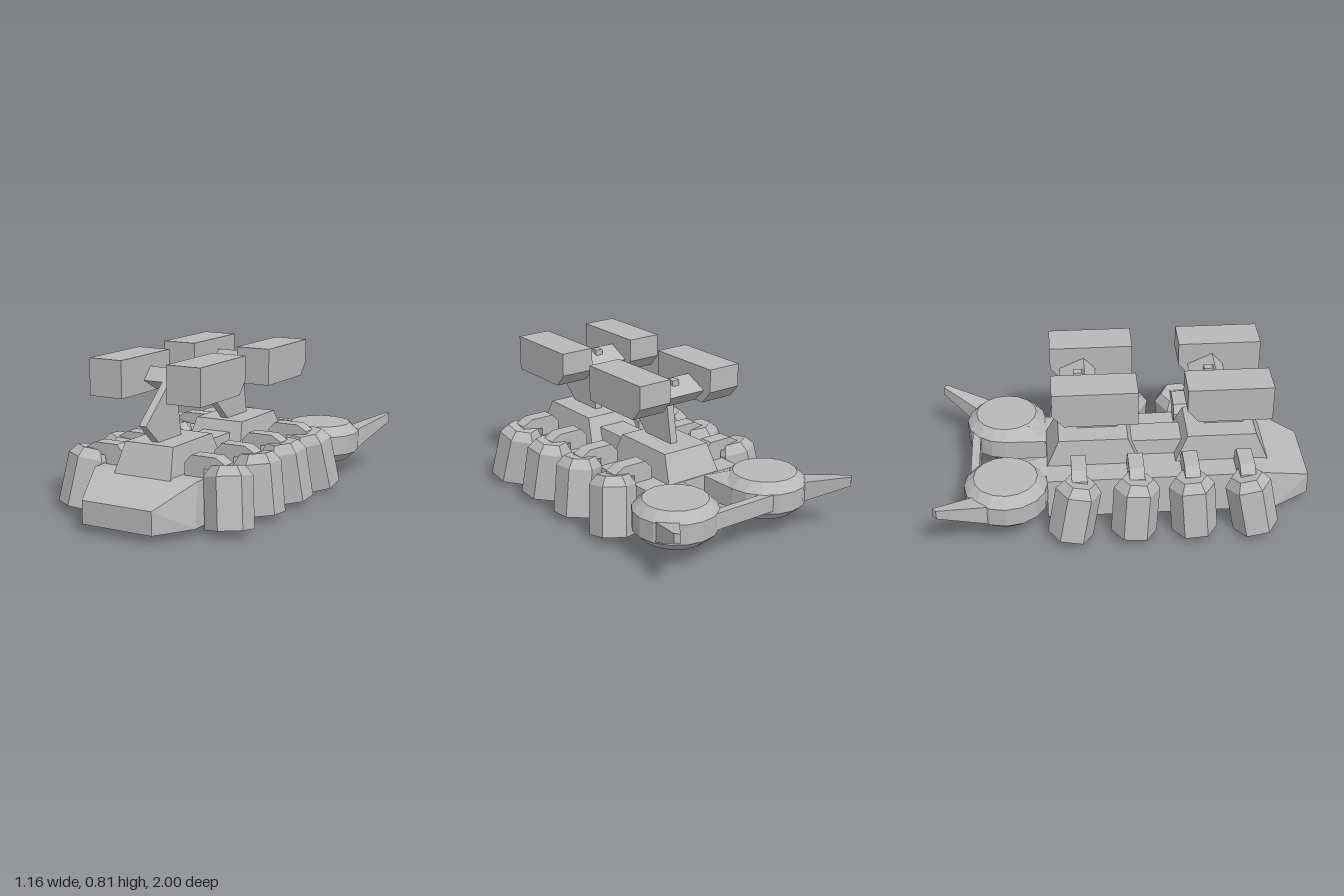
import * as THREE from 'three';
import { ConvexGeometry } from 'three/addons/geometries/ConvexGeometry.js';

export function createModel() {
  const model = new THREE.Group();
  const grey = new THREE.MeshStandardMaterial({ color: 0xb8b8b8, flatShading: true });

  const add = (name, geometry, parent = model) => {
    const mesh = new THREE.Mesh(geometry, grey);
    mesh.name = name;
    parent.add(mesh);
    return mesh;
  };
  const solid = (points) => new ConvexGeometry(points.map((p) => new THREE.Vector3(...p)));
  // Prism symmetric in x: each row is [halfWidth, y, z]
  const symmetric = (rows) => solid(rows.flatMap(([w, y, z]) => [[w, y, z], [-w, y, z]]));
  const extrude = (points, depth) => {
    const shape = new THREE.Shape(points.map((p) => new THREE.Vector2(...p)));
    return new THREE.ExtrudeGeometry(shape, { depth, bevelEnabled: false }).translate(0, 0, -depth / 2);
  };
  // Side profile given as [z, y], extruded across x
  const sideProfile = (points, width) => extrude(points, width).rotateY(-Math.PI / 2);

  // Hull with a tapered, sloping nose
  add('hull', symmetric([
    [0.32, 0.04, -0.42], [0.30, 0.26, -0.42],
    [0.32, 0.04, 0.80], [0.30, 0.26, 0.75],
    [0.20, 0.04, 1.0], [0.20, 0.16, 1.0],
  ]));

  // Raised spine joining the two deck blocks
  add('spine', symmetric([
    [0.09, 0.25, 0.36], [0.09, 0.25, -0.02], [0.08, 0.345, 0.36], [0.08, 0.345, -0.02],
  ]));

  // Two identical weapon stations
  for (const z of [0, -0.69]) {
    const station = new THREE.Group();
    station.name = z === 0 ? 'frontStation' : 'rearStation';
    station.position.z = z;
    model.add(station);

    add('deckBlock', symmetric([
      [0.165, 0.25, 0.775], [0.165, 0.25, 0.27],
      [0.14, 0.403, 0.71], [0.14, 0.403, 0.34],
    ]), station);

    add('mast', sideProfile([
      [0.64, 0.39], [0.765, 0.502], [0.475, 0.753], [0.43, 0.753],
      [0.43, 0.70], [0.485, 0.66], [0.44, 0.39],
    ], 0.042), station);

    add('crossbar', sideProfile([
      [0.55, 0.685], [0.49, 0.75], [0.36, 0.69], [0.43, 0.622],
    ], 0.27), station);

    for (const side of [-1, 1]) {
      const pod = add('launcherBox', sideProfile([
        [0.75, 0.622], [0.75, 0.813], [0.31, 0.813], [0.31, 0.69], [0.37, 0.622],
      ], 0.19), station);
      pod.position.x = side * 0.225;
    }
  }

  // Four splayed legs on each side, hung from bent arms
  const legs = [
    { foot: 0.68, arm: 0.63, lean: 0.19 },
    { foot: 0.353, arm: 0.34, lean: 0.07 },
    { foot: 0.03, arm: 0.05, lean: -0.07 },
    { foot: -0.305, arm: -0.25, lean: -0.19 },
  ];
  const legParts = [
    ['leg', new THREE.CylinderGeometry(0.121, 0.121, 0.26, 6).translate(0, 0.13, 0)],
    ['legShoulder', new THREE.CylinderGeometry(0.083, 0.121, 0.05, 6).translate(0, 0.285, 0)],
  ];
  for (const side of [-1, 1]) {
    for (const { foot, arm, lean } of legs) {
      const leg = new THREE.Group();
      leg.name = side > 0 ? 'leftLeg' : 'rightLeg';
      leg.position.set(side * 0.44, 0.025, foot);
      leg.rotation.set(-lean, 0, side * 0.14);
      for (const [name, geometry] of legParts) add(name, geometry, leg);
      model.add(leg);

      const bracket = add('legArm', extrude([
        [0.18, 0.2], [0.18, 0.325], [0.22, 0.367], [0.355, 0.367], [0.41, 0.335],
        [0.43, 0.25], [0.36, 0.25], [0.33, 0.305], [0.29, 0.305], [0.29, 0.2],
      ].map(([x, y]) => [side * x, y]), 0.08));
      bracket.position.z = arm;
    }
  }

  // Round rear pods, each with a neck to the hull and a swept horn
  const discProfile = [
    [0, 0.1], [0.165, 0.1], [0.22, 0.15], [0.22, 0.255], [0.168, 0.305], [0, 0.305],
  ].map((p) => new THREE.Vector2(...p));
  for (const side of [-1, 1]) {
    const mirrored = (points) => solid(points.map(([x, y, z]) => [side * x, y, z]));
    const disc = add('rearPod', new THREE.LatheGeometry(discProfile, 16));
    disc.position.set(side * 0.295, 0, -0.635);

    add('podNeck', mirrored([
      [0.07, 0.12, -0.41], [0.07, 0.255, -0.41], [0.24, 0.12, -0.41], [0.24, 0.255, -0.41],
      [0.075, 0.15, -0.63], [0.075, 0.255, -0.63], [0.32, 0.12, -0.6], [0.17, 0.30, -0.53],
      [0.32, 0.30, -0.53],
    ]));

    add('horn', mirrored([
      [0.40, 0.15, -0.80], [0.40, 0.26, -0.80], [0.49, 0.15, -0.73], [0.49, 0.26, -0.73],
      [0.555, 0.27, -1.0], [0.555, 0.32, -1.0], [0.578, 0.27, -0.98], [0.578, 0.32, -0.98],
    ]));
  }
  const rearBar = add('rearBar', new THREE.BoxGeometry(0.42, 0.09, 0.045));
  rearBar.position.set(0, 0.21, -0.8);

  return model;
}
